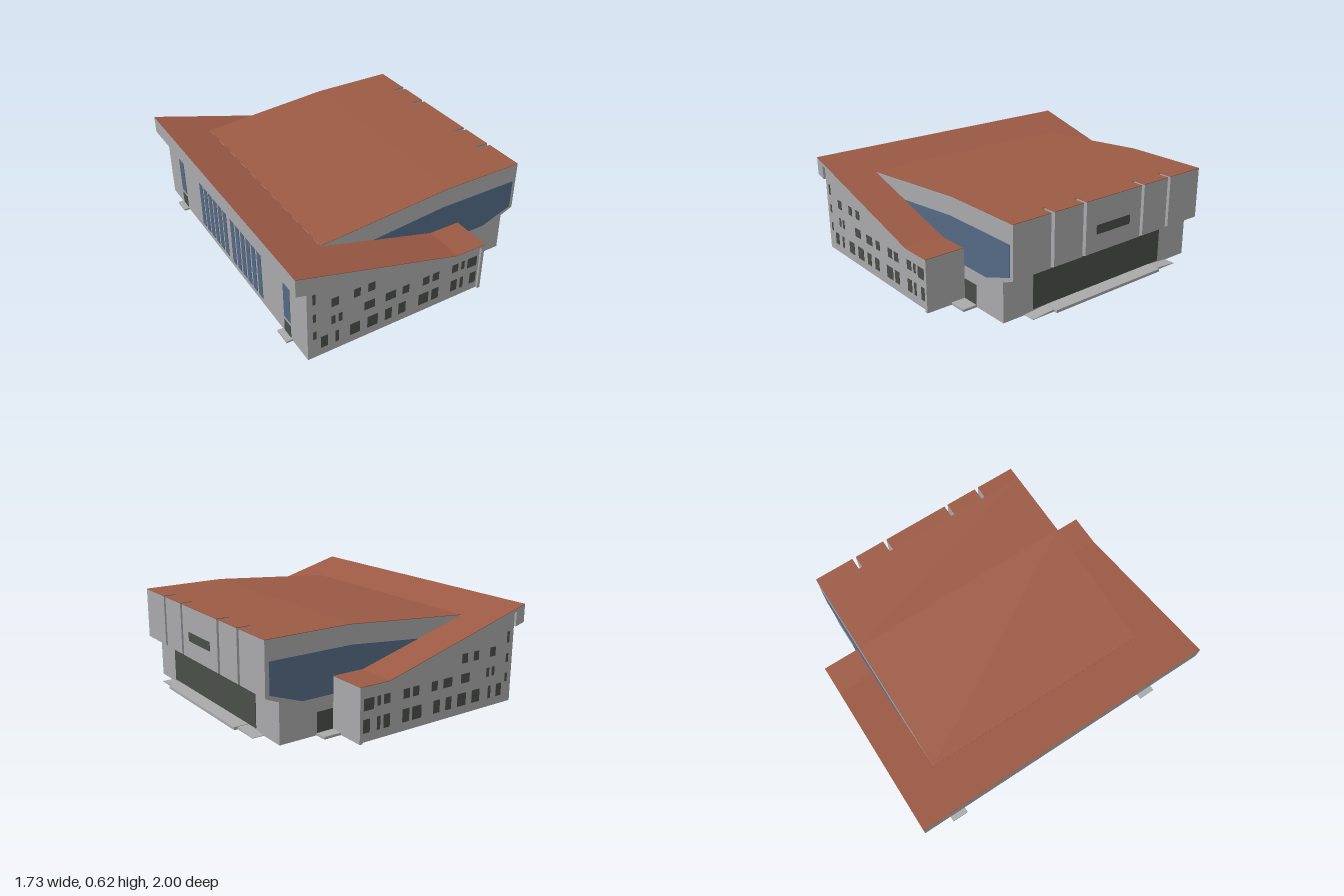
import * as THREE from 'three';

const mat = (name, color) => Object.assign(new THREE.MeshStandardMaterial({ color }), { name });

export function createModel() {
  const model = new THREE.Group();
  model.name = 'hallBuilding';
  const concrete = mat('concrete grey', 0xa9a9ab);
  const roofing = mat('roof brown', 0x9c5a44);
  const darkGlass = mat('dark glass', 0x494e47);
  const blueGlass = mat('blue glass', 0x536a85);

  const add = (name, geometry, material) => {
    const mesh = new THREE.Mesh(geometry, material);
    mesh.name = name;
    model.add(mesh);
    return mesh;
  };
  // Box given by its limits on each axis
  const box = (name, material, x0, x1, y0, y1, z0, z1) => {
    const g = new THREE.BoxGeometry(x1 - x0, y1 - y0, z1 - z0);
    g.translate((x0 + x1) / 2, (y0 + y1) / 2, (z0 + z1) / 2);
    return add(name, g, material);
  };
  // Profile in x and y, extruded from z0 to z1
  const prism = (name, material, points, z0, z1) => {
    const shape = new THREE.Shape(points.map(([x, y]) => new THREE.Vector2(x, y)));
    const g = new THREE.ExtrudeGeometry(shape, { depth: z1 - z0, bevelEnabled: false });
    g.translate(0, 0, z0);
    return add(name, g, material);
  };
  // Thin covering laid along the top of a profile
  const covering = (name, line, z0, z1) => {
    const upper = line.map(([x, y]) => [x, y + 0.003]).reverse();
    prism(name, roofing, [...line, ...upper], z0, z1);
  };

  // Main roof slab, folding down into the end wall
  prism('mainRoofFrame', concrete, [
    [-0.865, 0.612], [-0.865, 0.5], [-0.795, 0.482], [-0.795, 0.575], [0.2, 0.31],
    [0.385, 0.31], [0.385, 0], [0.405, 0], [0.405, 0.328], [0.2, 0.328],
  ], -1, 1);
  covering('mainRoofCovering', [[-0.865, 0.612], [0.2, 0.328], [0.405, 0.328]], -1, 1);

  // Gable walls, set back slightly behind the roof frame
  const gable = [[-0.795, 0], [0.385, 0], [0.385, 0.31], [0.2, 0.31], [-0.795, 0.575]];
  prism('frontGableWall', concrete, gable, 0.975, 0.985);
  prism('backGableWall', concrete, gable, -0.985, -0.975);
  box('leftLongWall', concrete, -0.795, -0.785, 0, 0.572, -0.985, 0.985);

  // Gable windows: [bottom, top, [start, width] pairs]
  const rows = [
    [0.053, 0.133, [[-0.713, 0.045], [-0.62, 0.023], [-0.524, 0.065], [-0.409, 0.07], [-0.289, 0.046],
      [-0.196, 0.05], [-0.053, 0.07], [0.04, 0.05], [0.183, 0.045], [0.252, 0.023], [0.326, 0.046]]],
    [0.195, 0.253, [[-0.644, 0.023], [-0.598, 0.023], [-0.432, 0.07], [-0.289, 0.07], [-0.173, 0.046],
      [-0.03, 0.046], [0.04, 0.046], [0.183, 0.045], [0.252, 0.023]]],
    [0.183, 0.253, [[0.298, 0.07]]],
    [0.32, 0.378, [[-0.644, 0.046], [-0.501, 0.042], [-0.409, 0.046]]],
    [0.385, 0.455, [[-0.76, 0.019]]],
    [0.26, 0.315, [[-0.76, 0.019]]],
    [0.135, 0.19, [[-0.76, 0.019]]],
  ];
  for (const z of [0.98, -0.98]) {
    for (const [y0, y1, list] of rows) {
      for (const [x, w] of list) box('gableWindow', darkGlass, x, x + w, y0, y1, z - 0.007, z + 0.007);
    }
  }

  // Tall windows, doors and steps on the long wall
  for (const side of [-1, 1]) {
    for (let i = 0; i < 6; i++) {
      const z = side * (0.055 + i * 0.073);
      box('tallWindow', blueGlass, -0.798, -0.782, 0.04, 0.46, z - 0.025, z + 0.025);
    }
    const z = side * 0.755;
    box('stairWindow', blueGlass, -0.798, -0.782, 0.12, 0.47, z - 0.037, z + 0.037);
    box('sideDoor', darkGlass, -0.798, -0.782, 0.012, 0.095, z - 0.037, z + 0.037);
    box('sideStep', concrete, -0.835, -0.795, 0, 0.012, z - 0.055, z + 0.055);
  }

  // Raised hall
  const zb = -0.755, zf = 0.74, front = 0.765;
  prism('hallBody', concrete, [
    [-0.565, 0.533], [0.2, 0.328], [front, 0.328], [front, 0.609], [0.3, 0.609], [-0.565, 0.537],
  ], zb, zf);
  covering('hallRoofCovering', [[-0.565, 0.537], [0.3, 0.609], [front, 0.609]], zb, zf);
  box('hallFrontWall', concrete, 0.755, front, 0, 0.328, zb, zf);
  box('hallLowerSide', concrete, 0.405, 0.755, 0, 0.328, zf - 0.01, zf);
  box('hallLowerSide', concrete, 0.405, 0.755, 0, 0.328, zb, zb + 0.01);

  // Overhanging front panels separated by narrow slits
  const panels = [[zb, -0.488], [-0.463, -0.258], [-0.233, 0.212], [0.237, 0.45], [0.475, zf]];
  for (const [z0, z1] of panels) {
    prism('frontPanel', concrete, [[front, 0.25], [0.85, 0.285], [0.85, 0.609], [front, 0.609]], z0, z1);
    covering('frontPanelCovering', [[front, 0.609], [0.85, 0.609]], z0, z1);
  }
  box('frontSlotWindow', darkGlass, 0.846, 0.853, 0.395, 0.452, -0.14, 0.13);
  box('frontGlazing', darkGlass, 0.761, 0.768, 0.018, 0.248, -0.51, 0.53);

  // Large side glazing, corner doors and porches
  const glazing = [
    [-0.22, 0.443], [0.2, 0.33], [0.407, 0.33], [0.407, 0.225],
    [0.615, 0.225], [0.825, 0.3], [0.825, 0.49], [0.28, 0.49],
  ];
  for (const [z, out] of [[zf, 0.835], [zb, -0.83]]) {
    prism('sideGlazing', blueGlass, glazing, z - 0.003, z + 0.003);
    box('cornerDoor', darkGlass, 0.408, 0.518, 0.015, 0.14, z - 0.003, z + 0.003);
    box('porchSlab', concrete, 0.405, 0.52, 0, 0.015, Math.min(z, out), Math.max(z, out));
  }

  // Entrance platform with a ramp at each end
  box('entrancePlatform', concrete, front, 0.862, 0, 0.018, -0.425, 0.435);
  const ramps = prism('entranceRamps', concrete,
    [[-0.59, 0], [0.59, 0], [0.59, 0.003], [0.42, 0.015], [-0.42, 0.015], [-0.59, 0.003]], front, 0.838);
  ramps.geometry.rotateY(Math.PI / 2); // length now runs along z, depth along x

  return model;
}
